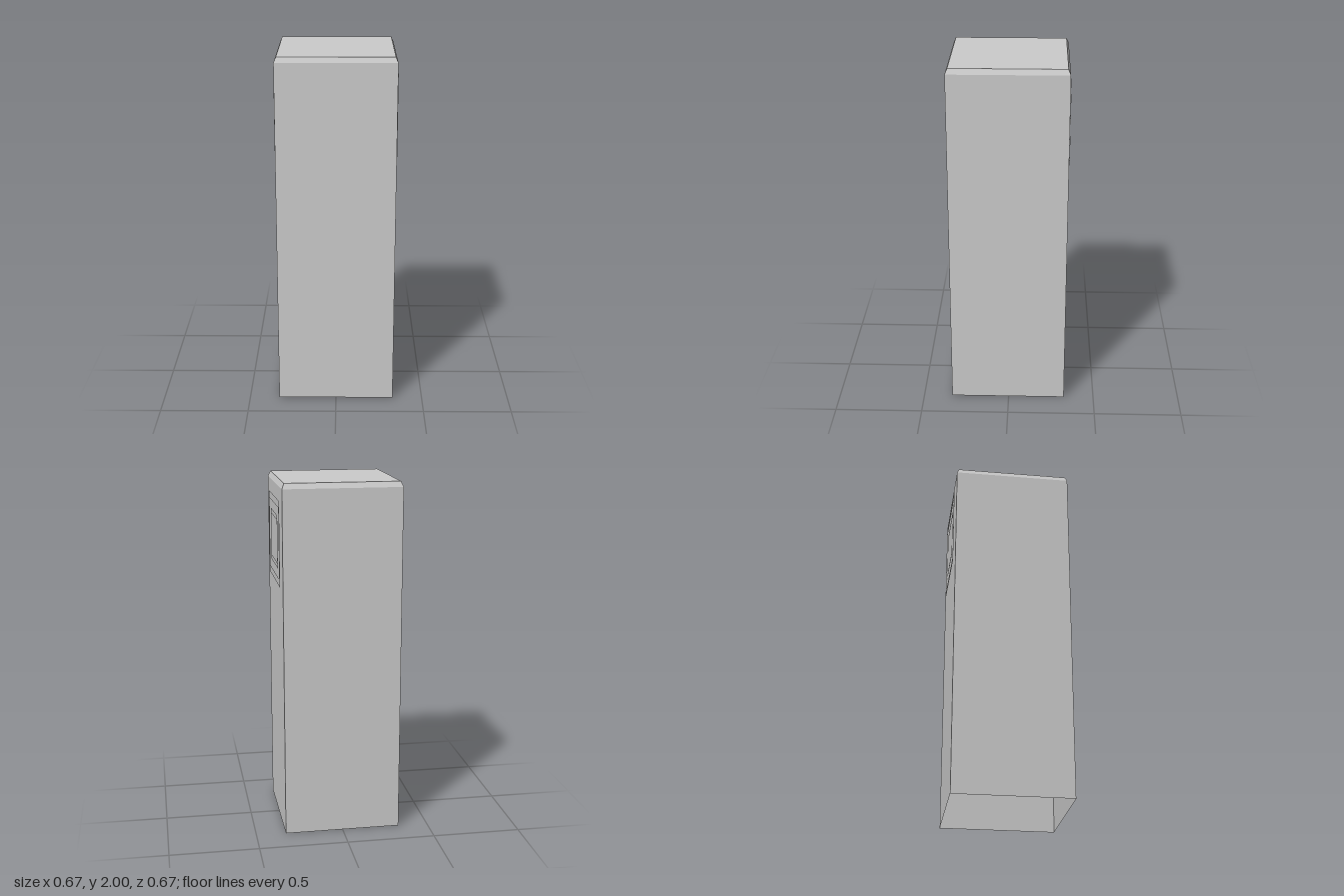
import * as THREE from 'three';

const CZ = 0.004; // the pillar sits slightly forward of centre
const HALF = 0.33;

// Open-bottomed square shell with a chamfered top, lofted from square sections
function shellGeometry() {
  const sections = [[0, HALF], [1.97, HALF], [2, 0.317]]; // [height, half width]
  const corners = [[-1, 1], [1, 1], [1, -1], [-1, -1]];
  const point = (s, c) => [corners[c % 4][0] * s[1], s[0], corners[c % 4][1] * s[1] + CZ];
  const pos = [];
  const quad = (a, b, c, d) => pos.push(...a, ...b, ...c, ...a, ...c, ...d);
  for (let i = 0; i < sections.length - 1; i++) {
    for (let c = 0; c < 4; c++) {
      const lo = sections[i], hi = sections[i + 1];
      quad(point(lo, c), point(lo, c + 1), point(hi, c + 1), point(hi, c));
    }
  }
  const top = sections[sections.length - 1];
  quad(point(top, 0), point(top, 1), point(top, 2), point(top, 3));
  const geo = new THREE.BufferGeometry();
  geo.setAttribute('position', new THREE.Float32BufferAttribute(pos, 3));
  geo.computeVertexNormals();
  return geo;
}

function rectangle(target, w, h) {
  target.moveTo(-w / 2, -h / 2);
  target.lineTo(w / 2, -h / 2);
  target.lineTo(w / 2, h / 2);
  target.lineTo(-w / 2, h / 2);
  target.closePath();
  return target;
}

// Flat rectangular frame, facing +z
function frameGeometry(w, h, innerW, innerH) {
  const shape = rectangle(new THREE.Shape(), w, h);
  shape.holes.push(rectangle(new THREE.Path(), innerW, innerH));
  return new THREE.ShapeGeometry(shape);
}

export function createModel() {
  const model = new THREE.Group();
  model.name = 'pillar';

  const shellMaterial = new THREE.MeshStandardMaterial({ color: 0xcccccc, side: THREE.DoubleSide });
  const shell = new THREE.Mesh(shellGeometry(), shellMaterial);
  shell.name = 'pillarShell';
  model.add(shell);

  // Two concentric flat frames just proud of the right, back and left faces
  const trimMaterial = new THREE.MeshStandardMaterial({ color: 0xcccccc, side: THREE.DoubleSide });
  const outer = frameGeometry(0.495, 0.475, 0.415, 0.395);
  const inner = frameGeometry(0.312, 0.295, 0.26, 0.24);
  const faces = [['left', Math.PI / 2], ['back', Math.PI], ['right', -Math.PI / 2]];
  for (const [side, angle] of faces) {
    const panel = new THREE.Group();
    panel.name = side + 'Panel';
    for (const [name, geo] of [['OuterFrame', outer], ['InnerFrame', inner]]) {
      const frame = new THREE.Mesh(geo, trimMaterial);
      frame.name = side + name;
      frame.position.set(0, 1.66, HALF + 0.006);
      panel.add(frame);
    }
    panel.rotation.y = angle;
    panel.position.z = CZ;
    model.add(panel);
  }
  return model;
}
